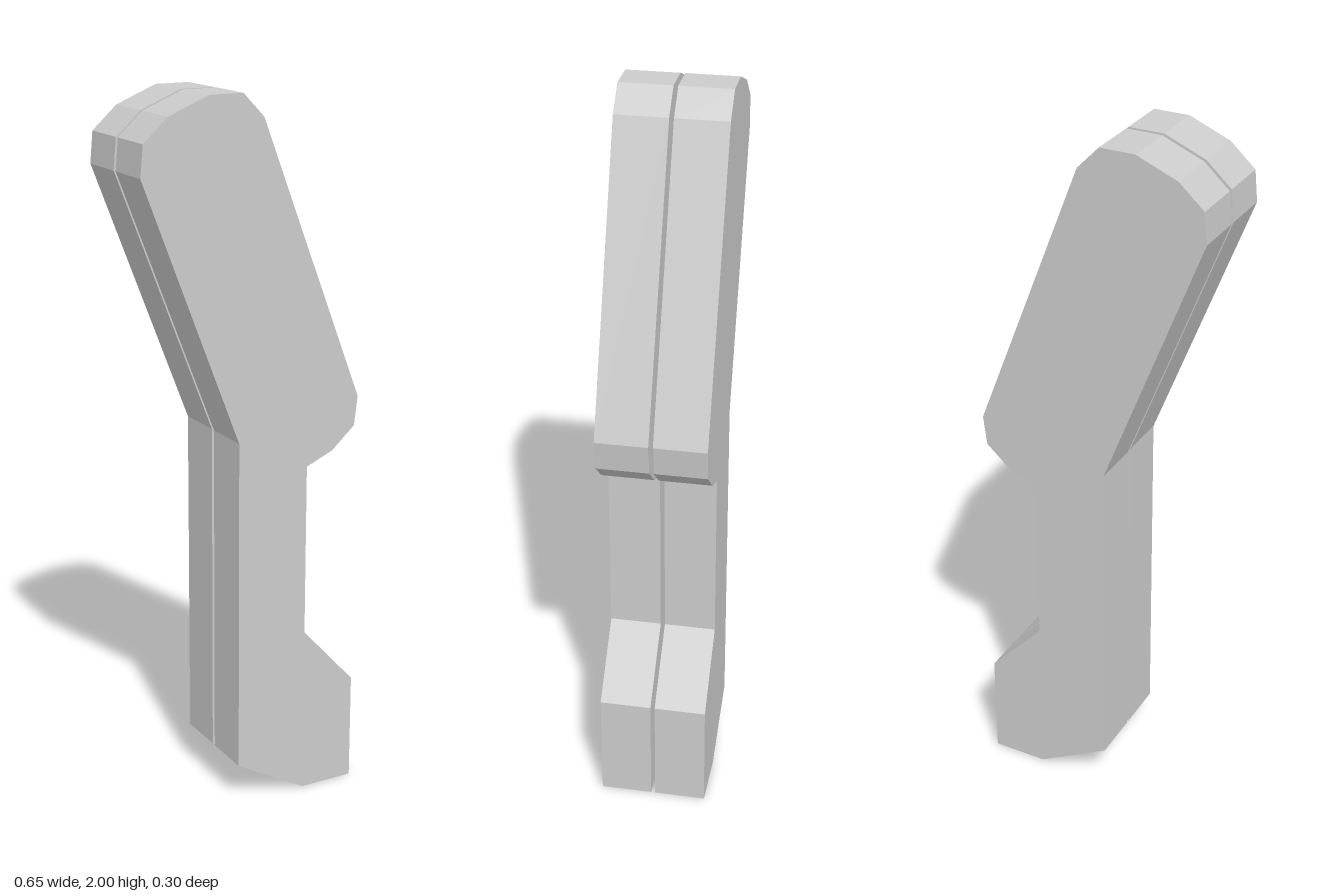
import * as THREE from 'three';

// Side outline of the bent lever, counter-clockwise from the lower heel
const OUTLINE = [
  [-0.047, 0.12], [0.165, 0], [0.325, 0], [0.325, 0.31], // foot
  [0.165, 0.487], [0.165, 0.98],                         // narrow neck
  [0.246, 1.015], [0.315, 1.077], [0.325, 1.16],         // rounded lower corner
  [0.024, 1.937], [-0.037, 2], [-0.135, 2],              // tilted head
  [-0.25, 1.953], [-0.32, 1.89], [-0.328, 1.805],
  [-0.047, 1.077],
];

const INNER = 0.006; // half the slot between the plates
const OUTER = 0.149;

export function createModel() {
  const model = new THREE.Group();
  model.name = 'splitLever';

  const material = new THREE.MeshStandardMaterial({ color: 0xcccccc, flatShading: true });
  const shape = new THREE.Shape(OUTLINE.map(([x, y]) => new THREE.Vector2(x, y)));
  const geometry = new THREE.ExtrudeGeometry(shape, { depth: OUTER - INNER, bevelEnabled: false });

  // Two equal plates with a thin open slot between them
  for (const [name, z] of [['frontPlate', INNER], ['backPlate', -OUTER]]) {
    const plate = new THREE.Mesh(geometry, material);
    plate.name = name;
    plate.position.z = z;
    model.add(plate);
  }
  return model;
}
